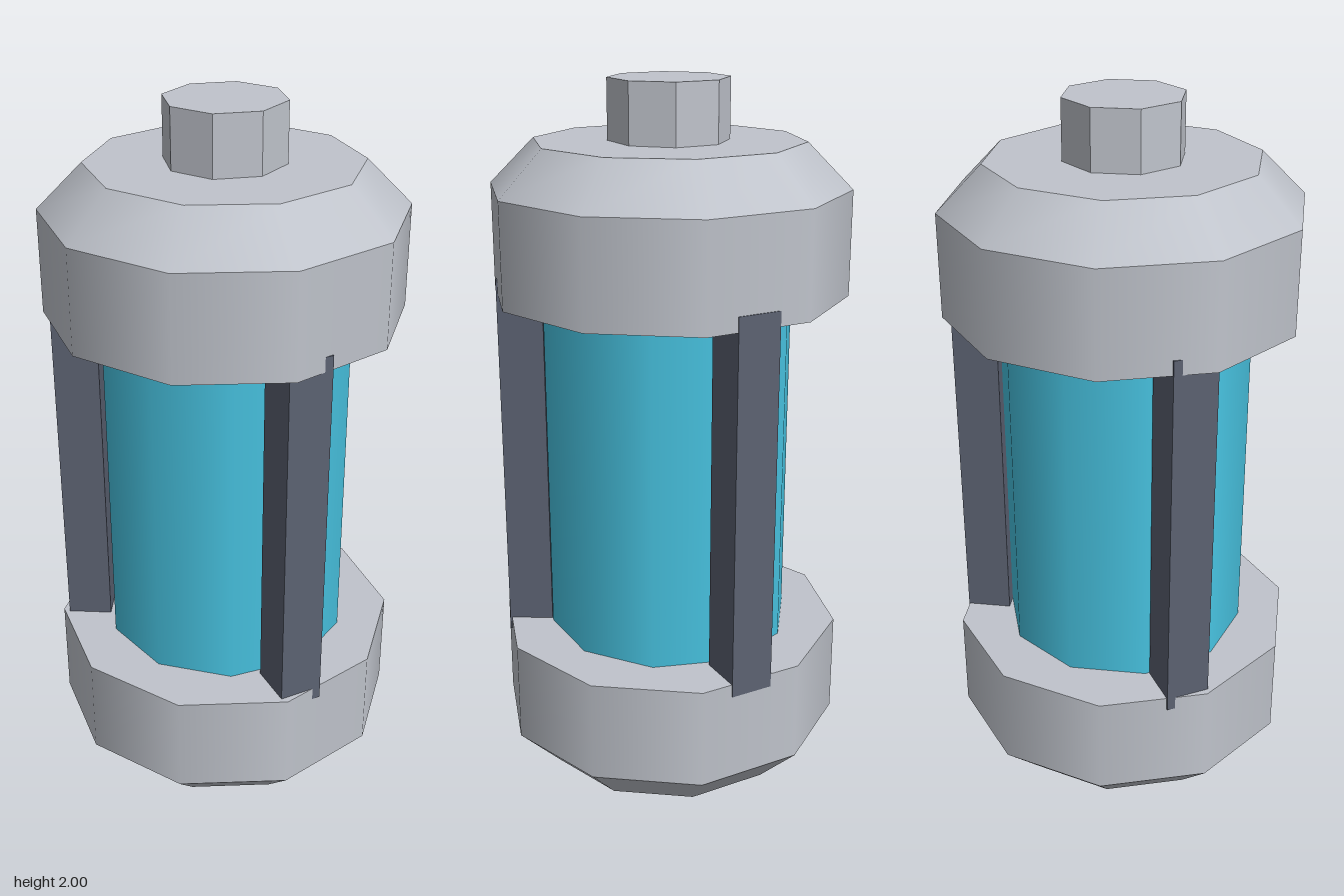
import * as THREE from 'three';

export function createModel() {
  const steel = new THREE.MeshStandardMaterial({ color: 0xc0c4cc });
  steel.name = 'light steel';
  const fluid = new THREE.MeshStandardMaterial({ color: 0x48c4e2 });
  fluid.name = 'cyan fluid';
  const dark = new THREE.MeshStandardMaterial({ color: 0x5c6272 });
  dark.name = 'dark slate';

  const group = new THREE.Group();
  group.name = 'canister';

  // Upright prism between two heights
  function prism(name, rTop, rBottom, y0, y1, sides, turn, material, parent = group) {
    const geometry = new THREE.CylinderGeometry(rTop, rBottom, y1 - y0, sides);
    geometry.rotateY(turn);
    const mesh = new THREE.Mesh(geometry, material);
    mesh.name = name;
    mesh.position.y = (y0 + y1) / 2;
    parent.add(mesh);
    return mesh;
  }

  // End caps: ten-sided band with a chamfer, corners on the x axis
  const turn = Math.PI / 10;
  const lower = new THREE.Group();
  lower.name = 'lowerCap';
  prism('lowerChamfer', 0.5, 0.375, 0, 0.125, 10, turn, steel, lower);
  prism('lowerBand', 0.5, 0.5, 0.125, 0.418, 10, turn, steel, lower);
  const upper = new THREE.Group();
  upper.name = 'upperCap';
  prism('upperBand', 0.5, 0.5, 1.418, 1.71, 10, turn, steel, upper);
  prism('upperChamfer', 0.375, 0.5, 1.71, 1.835, 10, turn, steel, upper);
  group.add(lower, upper);

  // Tank, corners on the z axis
  prism('tank', 0.355, 0.355, 0.41, 1.425, 10, 0, fluid);

  // Faceted top knob
  const knob = prism('knob', 0.167, 0.167, 1.835, 2, 8, Math.PI / 8, steel);
  knob.geometry = knob.geometry.toNonIndexed();
  knob.geometry.computeVertexNormals();

  // Three struts, one at the back and two towards the front
  const inner = 0.35, outer = 0.478;
  for (let i = 0; i < 3; i++) {
    const geometry = new THREE.BoxGeometry(0.125, 1.08, outer - inner);
    geometry.translate(0, 0.92, -(inner + outer) / 2);
    const strut = new THREE.Mesh(geometry, dark);
    strut.name = ['backStrut', 'rightStrut', 'leftStrut'][i];
    strut.rotation.y = (i * Math.PI * 2) / 3;
    group.add(strut);
  }
  return group;
}
